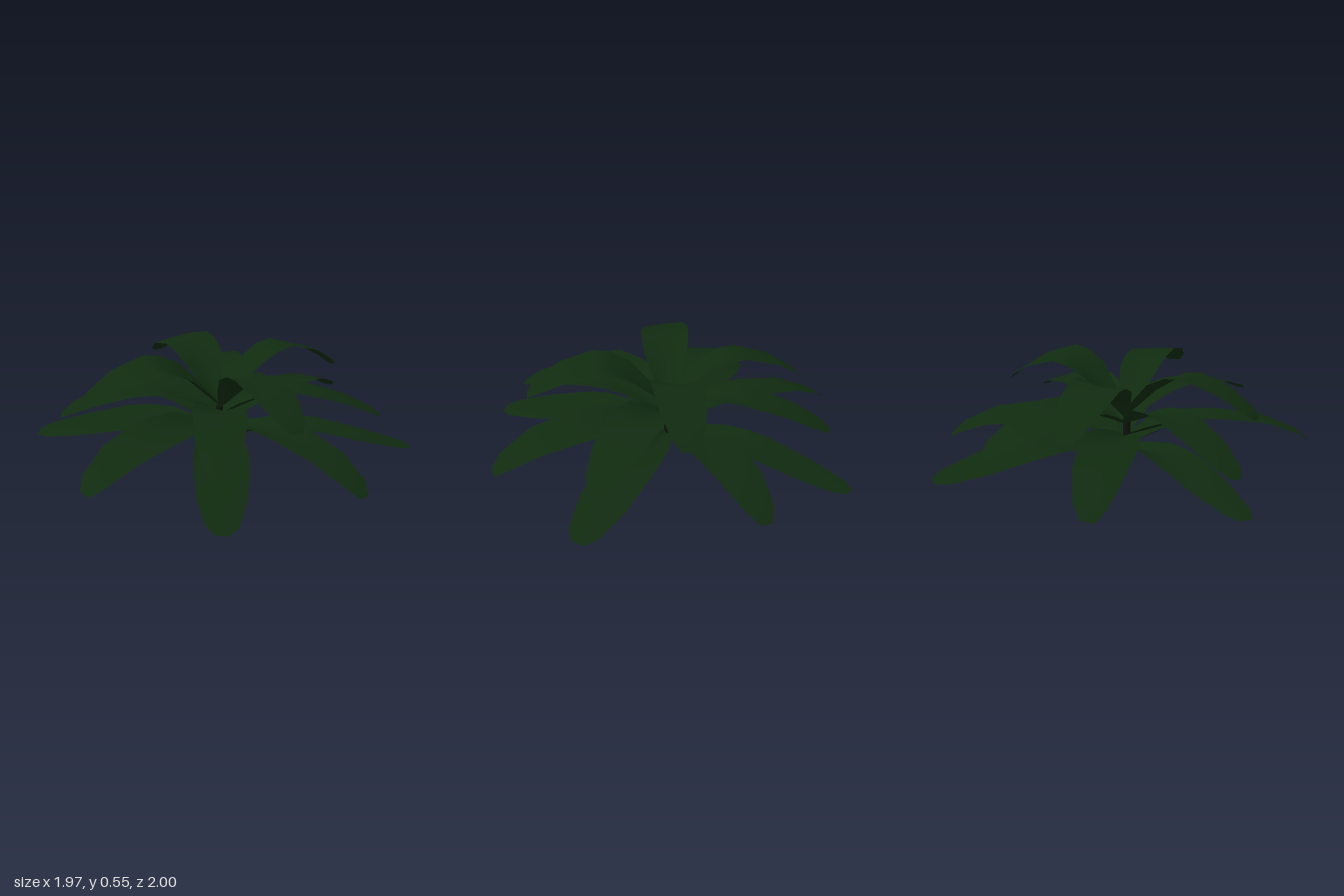
import * as THREE from 'three';

const green = new THREE.MeshStandardMaterial({ color: 0x102b10, side: THREE.DoubleSide });
const stemGreen = new THREE.MeshStandardMaterial({ color: 0x0b140a });

// Stations along every leaf: position, relative width, lift of the edges above the midrib
const stations = [
  [0, 0.15, 0.01], [0.12, 0.54, 0.035], [0.26, 0.88, 0.04], [0.4, 0.98, 0.022],
  [0.52, 1, 0.004], [0.76, 0.86, -0.004], [0.94, 0.56, -0.004], [1, 0.24, 0],
];
const roll = 0.12; // every leaf leans sideways by this slope

// Tiers from top to bottom: half width, midrib height at each station,
// leaf tips [x, z, height offset at the peak, height offset at the tip]
const tiers = [
  { name: 'crownLeaf', half: 0.135,
    rib: [0.21, 0.295, 0.4, 0.47, 0.5, 0.455, 0.375, 0.328],
    tips: [[0.055, -0.76, 0, 0], [0.71, 0.1, 0.03, 0.025], [-0.09, 0.76, 0, 0.02], [-0.755, -0.165, 0, 0]] },
  { name: 'upperLeaf', half: 0.138,
    rib: [0.17, 0.22, 0.28, 0.318, 0.328, 0.28, 0.21, 0.17],
    tips: [[0.475, -0.75, 0.005, 0.03], [-0.725, -0.53, 0, -0.02], [-0.515, 0.725, 0.01, 0.045], [0.68, 0.55, 0, 0.015]] },
  { name: 'middleLeaf', half: 0.143,
    rib: [0.1, 0.13, 0.17, 0.202, 0.218, 0.192, 0.115, 0.062],
    tips: [[-0.145, -0.995, 0, 0], [0.975, -0.205, 0, 0.005], [0.15, 0.99, -0.01, -0.02], [-0.975, 0.285, 0.01, 0.025]] },
  { name: 'lowerLeaf', half: 0.143,
    rib: [0.04, 0.062, 0.09, 0.113, 0.118, 0.072, 0.03, 0.013],
    tips: [[0.785, -0.735, 0, 0.01], [-0.805, -0.675, 0, 0.005], [-0.585, 0.855, 0, 0.005], [0.805, 0.665, 0, 0]] },
];

// An arching blade running along +z, channelled near its base
function leafGeometry(length, half, rib, peakOffset, tipOffset) {
  const across = [-1, -0.5, 0, 0.5, 1];
  const positions = [], index = [];
  stations.forEach(([t, width, lift], row) => {
    const offset = t < 0.5 ? peakOffset * 2 * t : peakOffset + (tipOffset - peakOffset) * (2 * t - 1);
    across.forEach((u, col) => {
      const x = u * width * half;
      positions.push(x, rib[row] + offset + lift * Math.abs(u) ** 1.4 - roll * x, t * length);
      if (row && col) {
        const d = row * 5 + col, c = d - 1, b = d - 5, a = b - 1;
        index.push(a, c, b, b, c, d);
      }
    });
  });
  const geometry = new THREE.BufferGeometry();
  geometry.setAttribute('position', new THREE.Float32BufferAttribute(positions, 3));
  geometry.setIndex(index);
  geometry.computeVertexNormals();
  return geometry;
}

export function createModel() {
  const plant = new THREE.Group();
  plant.name = 'plant';

  // Short central stem
  const stem = new THREE.Mesh(new THREE.CylinderGeometry(0.02, 0.025, 0.22, 8), stemGreen);
  stem.name = 'stem';
  stem.position.set(-0.013, 0.11, 0);
  plant.add(stem);

  // Four tiers of four leaves
  for (const { name, half, rib, tips } of tiers) {
    tips.forEach(([x, z, peakOffset, tipOffset], i) => {
      const leaf = new THREE.Mesh(leafGeometry(Math.hypot(x, z), half, rib, peakOffset, tipOffset), green);
      leaf.name = name + (i + 1);
      leaf.rotation.y = Math.atan2(x, z);
      plant.add(leaf);
    });
  }
  return plant;
}
